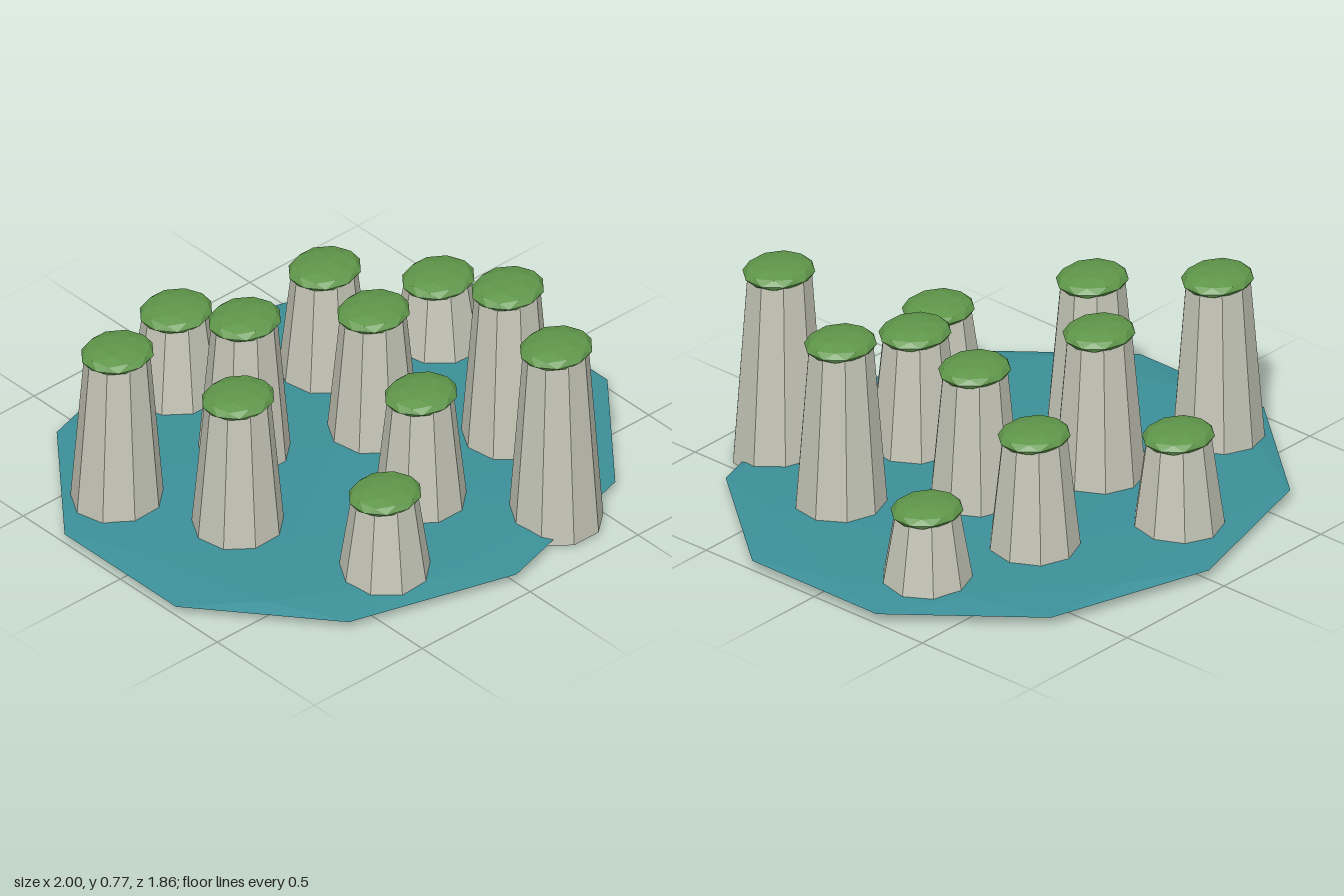
import * as THREE from 'three';

const mat = (name, color) => {
  const m = new THREE.MeshStandardMaterial({ color });
  m.name = name;
  return m;
};

// Split faces so every facet gets its own flat normal
function faceted(geometry) {
  const g = geometry.index ? geometry.toNonIndexed() : geometry;
  g.computeVertexNormals();
  return g;
}

// Flattened 80-sided ball standing on a corner, with a ten-sided rim
function lens(rx, ry, rz) {
  const g = new THREE.IcosahedronGeometry(1, 1);
  g.rotateZ(-(Math.PI / 2 - Math.atan((1 + Math.sqrt(5)) / 2)));
  g.scale(rx, ry, rz);
  return faceted(g);
}

export function createModel() {
  const group = new THREE.Group();
  group.name = 'rockPillarsInWater';
  const water = mat('teal water', 0x3c9099);
  const rock = mat('pale rock', 0xc6c7b8);
  const grass = mat('green grass', 0x5f964a);

  const add = (name, geometry, material, x, y, z) => {
    const mesh = new THREE.Mesh(geometry, material);
    mesh.name = name;
    mesh.position.set(x, y, z);
    group.add(mesh);
  };

  // Shallow pool
  add('waterDisc', lens(1.051, 0.036, 0.93), water, 0, 0.036, 0);

  // Pillars: x, z, height of the cap's top
  const pillars = [
    [-0.166, -0.64, 0.43], [-0.73, -0.315, 0.7], [-0.23, -0.215, 0.653],
    [0.294, -0.385, 0.525], [0.706, -0.258, 0.354], [0.18, -0.007, 0.6],
    [-0.535, 0.09, 0.63], [0.034, 0.4, 0.538], [0.508, 0.32, 0.715],
    [-0.328, 0.617, 0.405], [0.342, 0.754, 0.775],
  ];
  const capHalf = 0.037, bottom = 0.012;
  const capGeometry = lens(0.136, capHalf, 0.12);
  for (const [x, z, top] of pillars) {
    const capY = top - capHalf;
    const height = capY - bottom;
    // Nine-sided tapering column with a flat face to the front
    const column = new THREE.CylinderGeometry(0.114, 0.166, height, 9);
    column.rotateY(Math.PI);
    add('rockPillar', faceted(column), rock, x, bottom + height / 2, z);
    add('grassCap', capGeometry, grass, x, capY, z);
  }
  return group;
}
